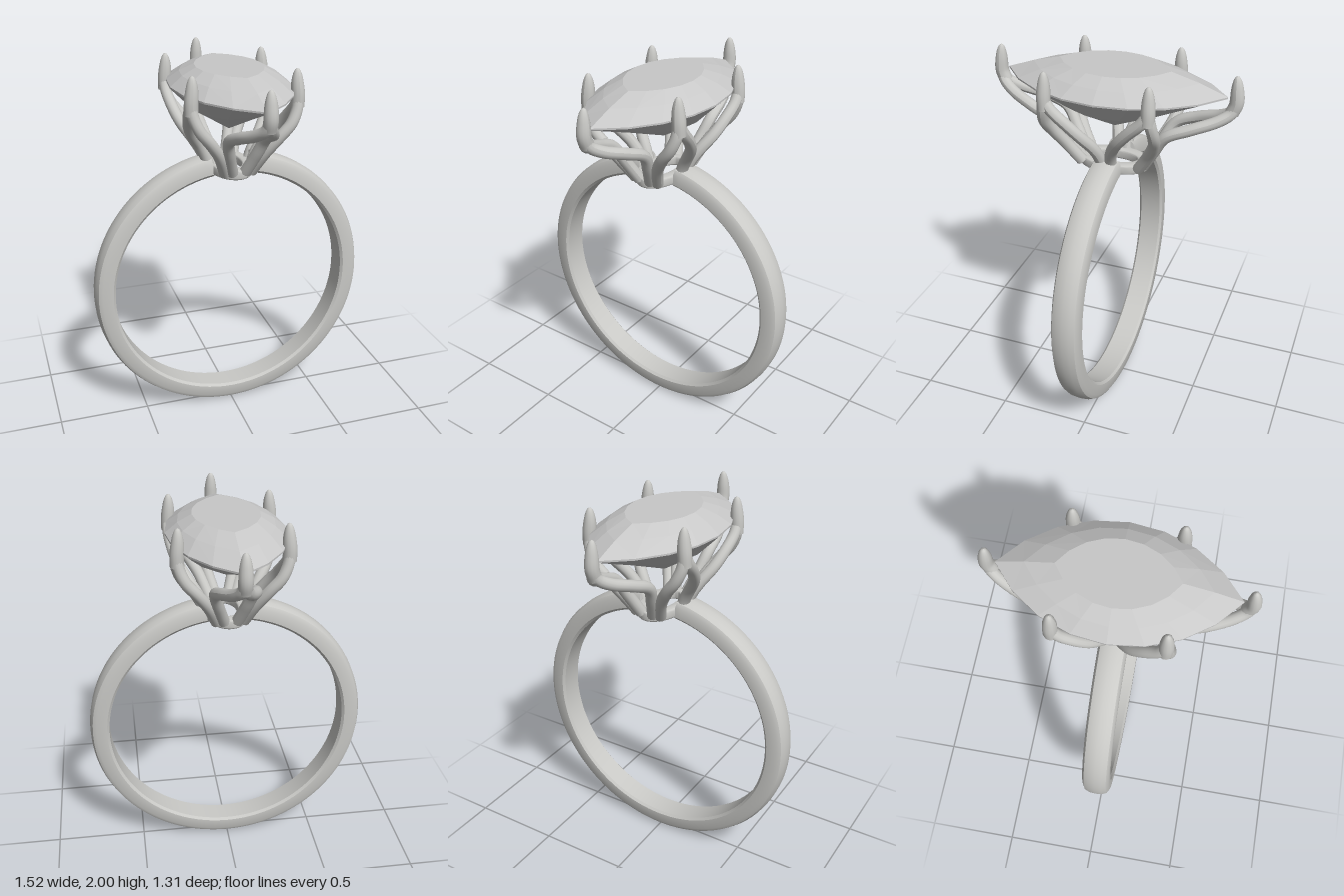
import * as THREE from 'three';
import { toCreasedNormals } from 'three/addons/utils/BufferGeometryUtils.js';

const metal = new THREE.MeshStandardMaterial({ color: 0xc9c9c6, side: THREE.DoubleSide });
metal.name = 'polished metal';
const stone = new THREE.MeshStandardMaterial({ color: 0xc8c8c8 });
stone.name = 'pale stone';

function add(parent, name, geometry, material) {
  const mesh = new THREE.Mesh(geometry, material);
  mesh.name = name;
  parent.add(mesh);
  return mesh;
}

// Tube along points, mirrored by sx and sz, with a radius that varies along its length
function taperedTube(points, sx, sz, radiusAt, segments = 32) {
  const path = new THREE.CatmullRomCurve3(points.map(([x, y, z]) => new THREE.Vector3(x * sx, y, z * sz)));
  const sides = 14;
  const geo = new THREE.TubeGeometry(path, segments, 1, sides);
  const pos = geo.attributes.position;
  const v = new THREE.Vector3();
  for (let i = 0; i <= segments; i++) {
    const centre = path.getPointAt(i / segments);
    for (let j = 0; j <= sides; j++) {
      const k = i * (sides + 1) + j;
      v.fromBufferAttribute(pos, k).sub(centre).multiplyScalar(radiusAt(i / segments)).add(centre);
      pos.setXYZ(k, v.x, v.y, v.z);
    }
  }
  geo.computeVertexNormals();
  return geo;
}

// Outline of two mirrored arcs meeting in points at each end
function marquise(halfWidth, halfLength, y, steps) {
  const ring = [];
  const r = halfWidth ? (halfWidth ** 2 + halfLength ** 2) / (2 * halfWidth) : 0;
  const a = r ? Math.asin(halfLength / r) : 0;
  for (const side of [1, -1]) {
    for (let i = 0; i < steps; i++) {
      const t = a * (2 * i / steps - 1);
      ring.push([side * (r * Math.cos(t) - (r - halfWidth)), y, side * r * Math.sin(t)]);
    }
  }
  return ring;
}

// Faceted stone: pointed-oval rings from culet to table
function stoneGeometry() {
  const levels = [
    [0, 0, 1.645], [0.195, 0.29, 1.765], [0.308, 0.575, 1.877], [0.308, 0.575, 1.886],
    [0.245, 0.435, 1.937], [0.172, 0.29, 1.976], [0, 0, 1.976],
  ];
  const rings = levels.map(([w, l, y]) => marquise(w, l, y, 8));
  const out = [];
  for (let k = 0; k < rings.length - 1; k++) {
    const lo = rings[k], up = rings[k + 1], n = lo.length;
    for (let i = 0; i < n; i++) {
      const j = (i + 1) % n;
      const quad = i % 2
        ? [lo[i], up[i], up[j], lo[i], up[j], lo[j]]
        : [lo[i], up[i], lo[j], up[i], up[j], lo[j]];
      quad.forEach((p) => out.push(...p));
    }
  }
  const geo = new THREE.BufferGeometry();
  geo.setAttribute('position', new THREE.Float32BufferAttribute(out, 3));
  geo.computeVertexNormals();
  return geo;
}

function buildBand() {
  const band = new THREE.Group();
  band.name = 'band';
  // Half cross-section (radius, width), mirrored: flat inside, domed outside
  const half = [[0.76, 0], [0.757, 0.035], [0.746, 0.06], [0.725, 0.072], [0.668, 0.072], [0.655, 0.06]];
  const section = [
    ...half.slice(1).reverse().map(([r, w]) => new THREE.Vector2(r, -w)),
    ...half.map(([r, w]) => new THREE.Vector2(r, w)),
  ];
  const gap = 0.15, start = Math.PI + gap, sweep = 2 * Math.PI - 2 * gap;
  const hoop = new THREE.LatheGeometry([...section, section[0].clone()], 112, start, sweep);
  add(band, 'hoop', toCreasedNormals(hoop, 0.6), metal);
  for (const phi of [start, start + sweep]) {
    const cap = new THREE.ShapeGeometry(new THREE.Shape(section));
    cap.rotateY(phi - Math.PI / 2);
    add(band, 'bandEnd', cap, metal);
  }
  band.rotation.x = Math.PI / 2;
  band.position.y = 0.765;
  return band;
}

function buildSetting() {
  const setting = new THREE.Group();
  setting.name = 'setting';

  // Oval base ring joining the prongs
  const oval = new THREE.Shape().absellipse(0, 0, 0.105, 0.18, 0, Math.PI * 2);
  oval.holes.push(new THREE.Path().absellipse(0, 0, 0.07, 0.135, 0, Math.PI * 2, true));
  const base = new THREE.ExtrudeGeometry(oval, {
    depth: 0.032, bevelThickness: 0.01, bevelSize: 0.01, bevelSegments: 3, curveSegments: 24,
  });
  base.rotateX(-Math.PI / 2).translate(0, 1.432, 0);
  add(setting, 'baseRing', toCreasedNormals(base, 0.7), metal);

  // Claw tips narrow to a rounded point; strands stay nearly even
  const clawRadius = (u) => 0.035 * Math.sqrt(Math.max(0, 1 - Math.pow(1 - Math.min(1, u / 0.7), 2)));
  const strandRadius = (u) => 0.029 + 0.002 * u;

  const endClaw = [[0, 2.0, 0.612], [0, 1.93, 0.617], [0, 1.86, 0.618], [0, 1.81, 0.6]];
  const endStrand = [[0, 1.85, 0.618], [0.012, 1.81, 0.6], [0.042, 1.77, 0.54], [0.082, 1.725, 0.42],
    [0.095, 1.67, 0.3], [0.07, 1.57, 0.235], [0.035, 1.46, 0.17]];
  const sideClaw = [[0.265, 2.0, 0.262], [0.267, 1.93, 0.263], [0.272, 1.86, 0.264], [0.272, 1.81, 0.262]];
  const outerStrand = [[0.272, 1.86, 0.264], [0.265, 1.8, 0.275], [0.235, 1.73, 0.282],
    [0.18, 1.66, 0.268], [0.12, 1.57, 0.225], [0.07, 1.455, 0.155]];
  const innerStrand = [[0.272, 1.86, 0.264], [0.274, 1.81, 0.23], [0.26, 1.74, 0.16],
    [0.232, 1.67, 0.1], [0.18, 1.59, 0.05], [0.14, 1.52, 0.03], [0.115, 1.45, 0.025]];

  for (const sz of [1, -1]) {
    add(setting, 'endClaw', taperedTube(endClaw, 1, sz, clawRadius), metal);
    for (const sx of [1, -1]) {
      add(setting, 'endStrand', taperedTube(endStrand, sx, sz, strandRadius), metal);
      add(setting, 'sideClaw', taperedTube(sideClaw, sx, sz, clawRadius), metal);
      add(setting, 'outerStrand', taperedTube(outerStrand, sx, sz, strandRadius), metal);
      add(setting, 'innerStrand', taperedTube(innerStrand, sx, sz, strandRadius), metal);
    }
  }
  return setting;
}

export function createModel() {
  const ring = new THREE.Group();
  ring.name = 'ring';
  ring.add(buildBand(), buildSetting());
  add(ring, 'stone', stoneGeometry(), stone);
  return ring;
}
